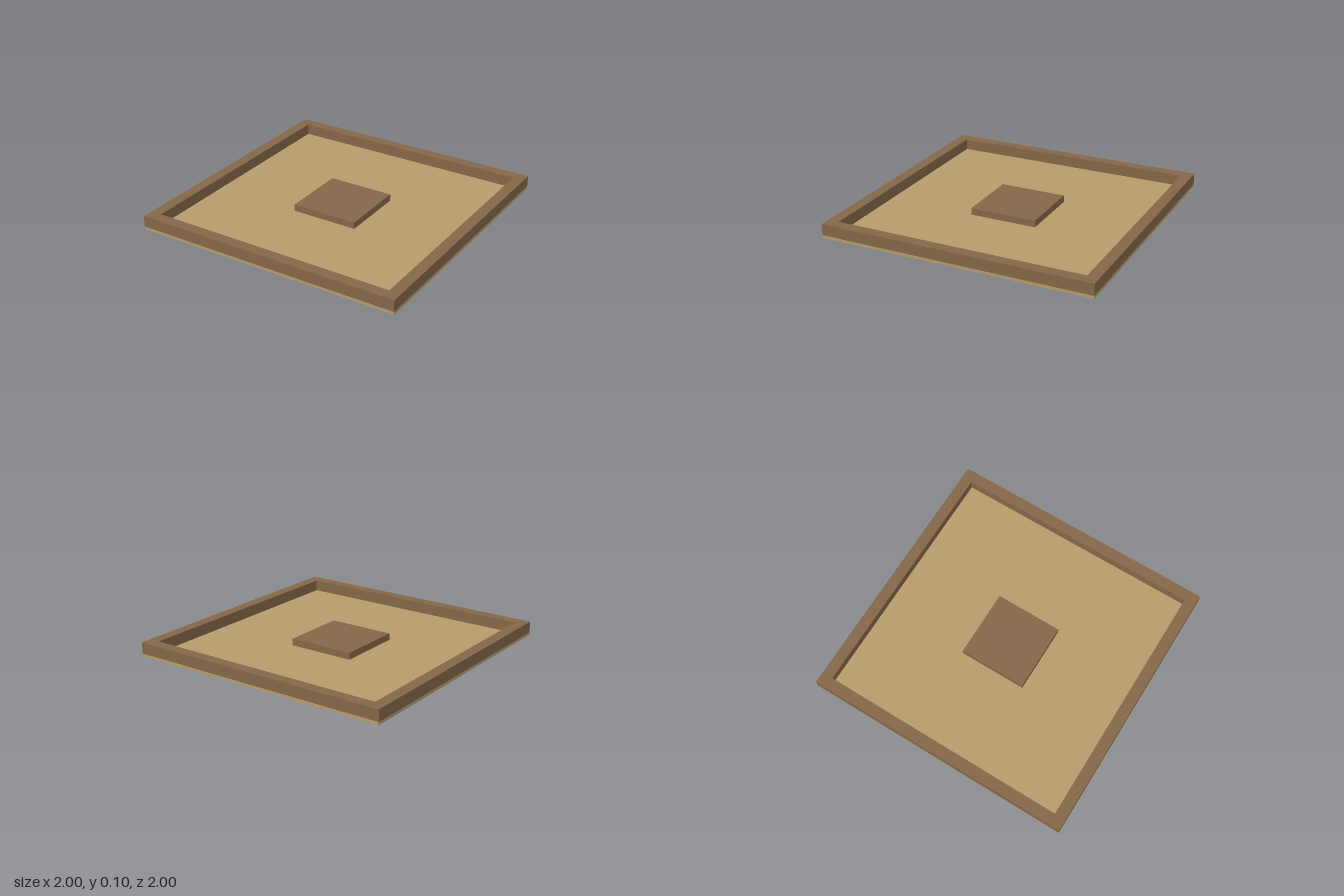
import * as THREE from 'three';

const BASE = 0.021, TOP = 0.104, INNER = 0.917, PAD = 0.05;

function square(PathType, half) {
  return new PathType([[-1, -1], [1, -1], [1, 1], [-1, 1]]
    .map(([x, y]) => new THREE.Vector2(x * half, y * half)));
}

export function createModel() {
  const tan = new THREE.MeshStandardMaterial({ name: 'tan', color: 0xb69c6b });
  const brown = new THREE.MeshStandardMaterial({ name: 'brown', color: 0x846748 });
  const group = new THREE.Group();
  group.name = 'tray';

  const add = (name, geometry, material, y) => {
    const mesh = new THREE.Mesh(geometry, material);
    mesh.name = name;
    mesh.position.y = y;
    group.add(mesh);
  };

  // Thin floor slab
  add('floor', new THREE.BoxGeometry(2, BASE, 2), tan, BASE / 2);

  // Raised square border around the floor
  const outline = square(THREE.Shape, 1);
  outline.holes.push(square(THREE.Path, INNER));
  const rim = new THREE.ExtrudeGeometry(outline, { depth: TOP - BASE, bevelEnabled: false });
  rim.rotateX(-Math.PI / 2);
  add('rim', rim, brown, BASE);

  // Low square block in the middle
  add('centreBlock', new THREE.BoxGeometry(0.5, PAD, 0.5), brown, BASE + PAD / 2);

  return group;
}
